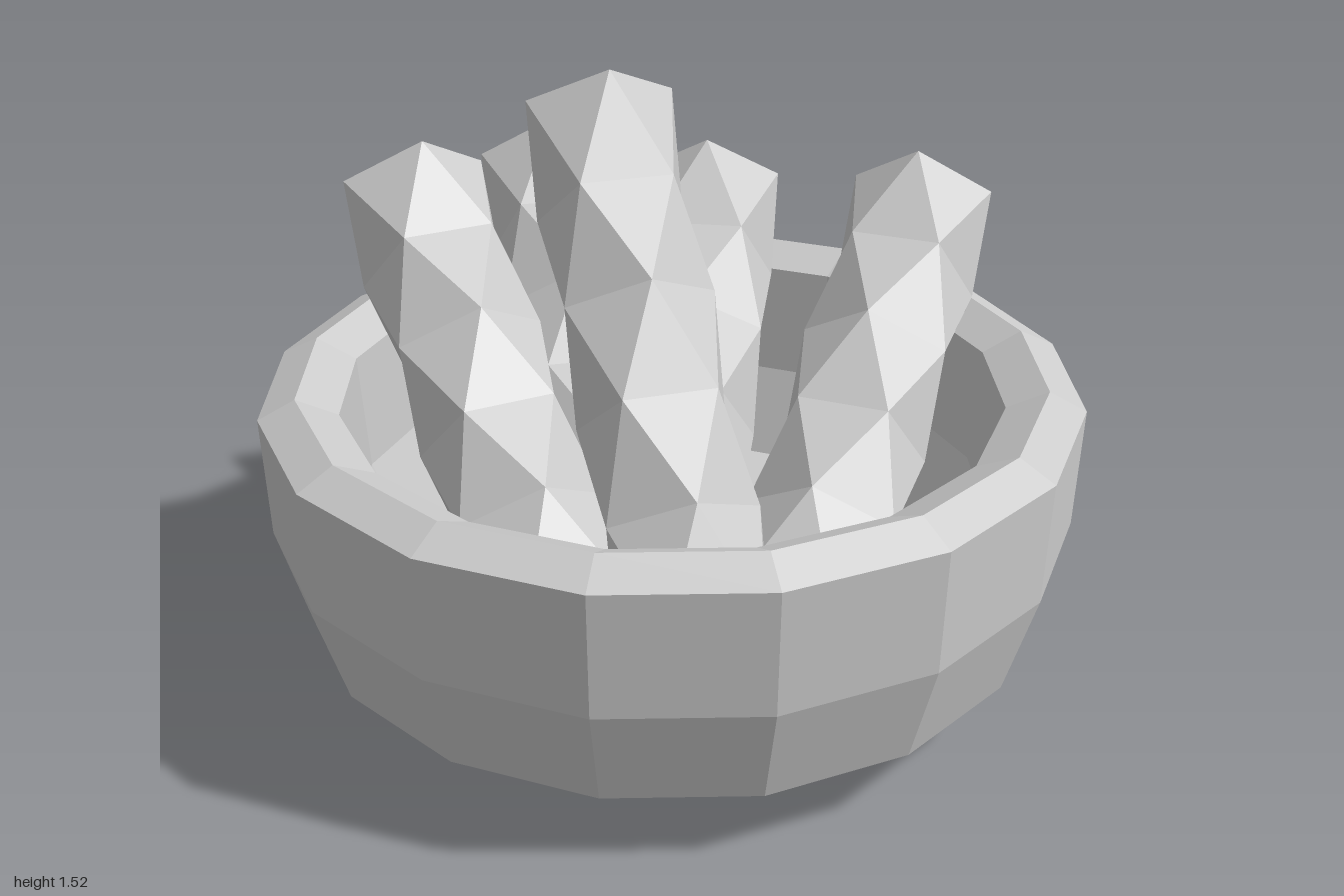
import * as THREE from 'three';

const SIDES = 5, SEGMENTS = 5, RADIUS = 0.19;
const grey = () => new THREE.MeshStandardMaterial({ color: 0xcccccc, flatShading: true });

// Skin a stack of five-sided rings { r, y, turn }, running from the base up and into the hollow tip
function skinRings(rings) {
  const point = ({ r, y, turn }, j) => {
    const a = turn + (j / SIDES) * Math.PI * 2;
    return [r * Math.cos(a), y, -r * Math.sin(a)];
  };
  const pos = [];
  for (let i = 0; i < rings.length - 1; i++) {
    const lo = rings[i], hi = rings[i + 1];
    for (let j = 0; j < SIDES; j++) {
      if (lo.r > 0) pos.push(...point(lo, j), ...point(lo, j + 1), ...point(hi, j));
      if (hi.r > 0) pos.push(...point(lo, j + 1), ...point(hi, j + 1), ...point(hi, j));
    }
  }
  const geo = new THREE.BufferGeometry();
  geo.setAttribute('position', new THREE.Float32BufferAttribute(pos, 3));
  geo.computeVertexNormals();
  return geo;
}

// Faceted stick between two points, with one corner of its tip pointing upwards
function makeStick(name, tip, base) {
  const top = new THREE.Vector3(...tip), bottom = new THREE.Vector3(...base);
  const axis = top.clone().sub(bottom), length = axis.length();
  axis.normalize();
  const up = new THREE.Vector3(0, 1, 0).addScaledVector(axis, -axis.y).normalize();
  const side = up.clone().cross(axis);

  const start = -SEGMENTS * Math.PI / SIDES;
  const rings = [{ r: 0, y: 0, turn: start }];
  // each ring is turned half a side, giving the diamond pattern
  for (let i = 0; i <= SEGMENTS; i++) {
    rings.push({ r: RADIUS, y: length * i / SEGMENTS, turn: start + i * Math.PI / SIDES });
  }
  // lip and hollow
  rings.push({ r: 0.112, y: length, turn: 0 });
  rings.push({ r: 0.07, y: length - 0.13, turn: 0 });
  rings.push({ r: 0, y: length - 0.13, turn: 0 });

  const stick = new THREE.Mesh(skinRings(rings), grey());
  stick.name = name;
  stick.quaternion.setFromRotationMatrix(new THREE.Matrix4().makeBasis(up, axis, side));
  stick.position.copy(bottom);
  return stick;
}

export function createModel() {
  const model = new THREE.Group();
  model.name = 'bowlOfSticks';

  // Bowl: outer wall, bevelled rim, inner wall and floor
  const profile = [
    [0, 0], [0.59, 0], [0.915, 0.19], [0.99, 0.45], [1, 0.755],
    [0.91, 0.8], [0.81, 0.75], [0.79, 0.45], [0.7, 0.22], [0, 0.2],
  ].map(([r, y]) => new THREE.Vector2(r, y));
  const bowl = new THREE.Mesh(new THREE.LatheGeometry(profile, 16), grey());
  bowl.name = 'bowl';
  model.add(bowl);

  // Sticks leaning on the back of the rim
  const sticks = new THREE.Group();
  sticks.name = 'sticks';
  sticks.add(
    makeStick('tallStick', [-0.22, 1.39, -0.18], [0.17, 0.42, 0.6]),
    makeStick('rightStick', [-0.71, 1.15, -0.21], [-0.17, 0.4, 0.53]),
    makeStick('backMiddleStick', [0, 1.05, -0.62], [0.03, 0.37, 0.38]),
    makeStick('backRightStick', [-0.47, 1.06, -0.68], [-0.08, 0.38, 0.28]),
    makeStick('leftStick', [0.57, 1.05, -0.61], [0.36, 0.37, 0.42]),
  );
  model.add(sticks);
  return model;
}
